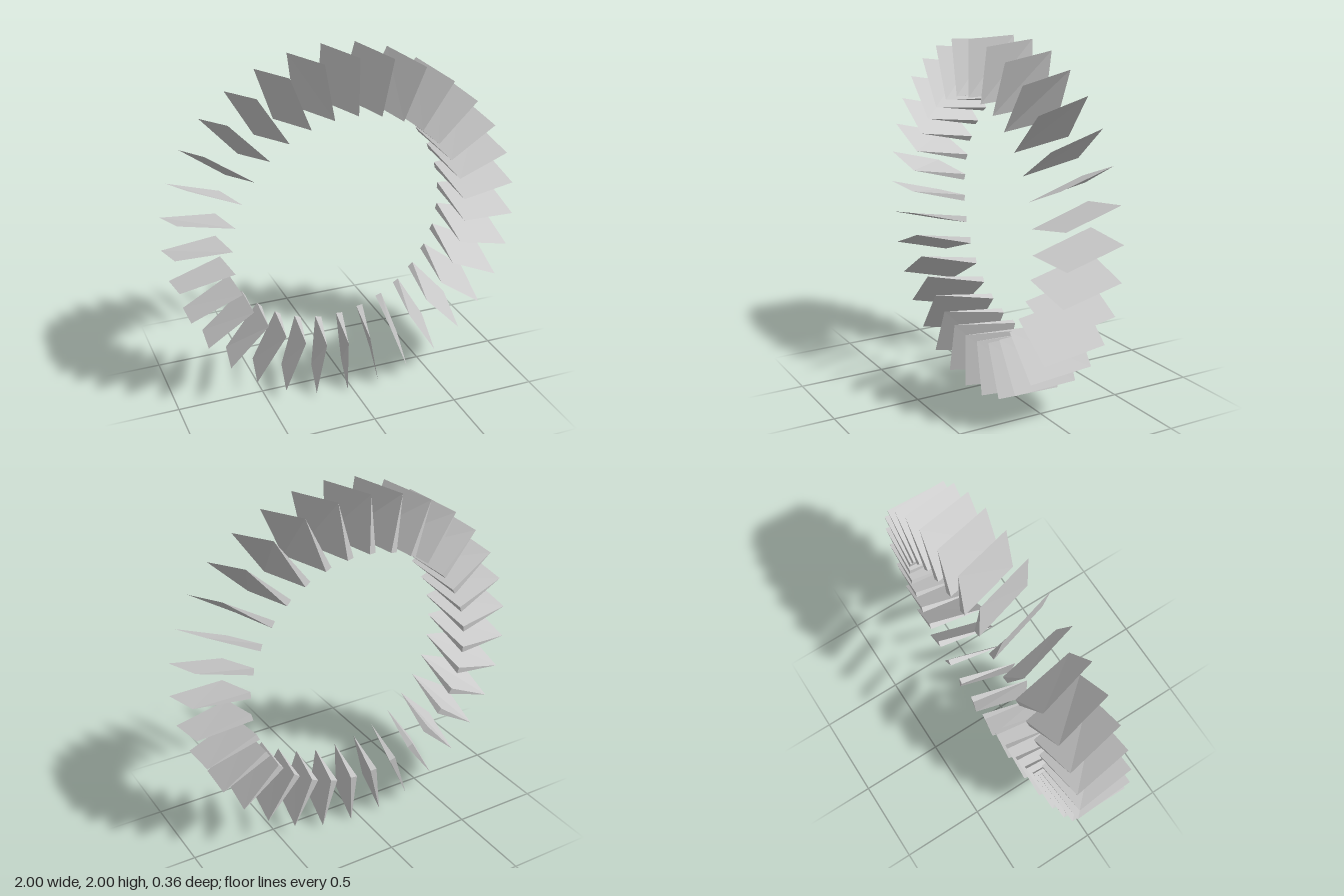
import * as THREE from 'three';

const BLADES = 32;

// One radial vane pointing along +x: a tilted sheet whose inner rear corner
// splits into a thin wedge. Coordinates are (radius, tangent, depth).
function vaneGeometry() {
  const frontIn = [0.685, -0.027, 0.178];
  const frontOut = [0.997, -0.033, 0.178];
  const backOut = [1.0, 0.058, -0.153];
  const backInTop = [0.685, 0.074, -0.175];
  const backInLow = [0.685, 0.036, -0.18];
  const triangles = [
    [frontIn, frontOut, backOut], [frontIn, backOut, backInTop], // main sheet
    [frontIn, backInLow, backOut],                               // underside
    [backOut, backInLow, backInTop],                             // rear edge
    [frontIn, backInTop, backInLow],                             // inner edge
  ];
  const geometry = new THREE.BufferGeometry();
  geometry.setAttribute('position', new THREE.Float32BufferAttribute(triangles.flat(2), 3));
  geometry.computeVertexNormals();
  return geometry;
}

export function createModel() {
  const group = new THREE.Group();
  group.name = 'vaneRing';
  const material = new THREE.MeshStandardMaterial({
    color: 0xcccccc, flatShading: true, side: THREE.DoubleSide,
  });
  const geometry = vaneGeometry();

  // Vanes evenly spaced around a vertical ring
  for (let i = 0; i < BLADES; i++) {
    const vane = new THREE.Mesh(geometry, material);
    vane.name = `vane${i + 1}`;
    vane.position.y = 1;
    vane.rotation.z = (i / BLADES) * Math.PI * 2;
    group.add(vane);
  }
  return group;
}
